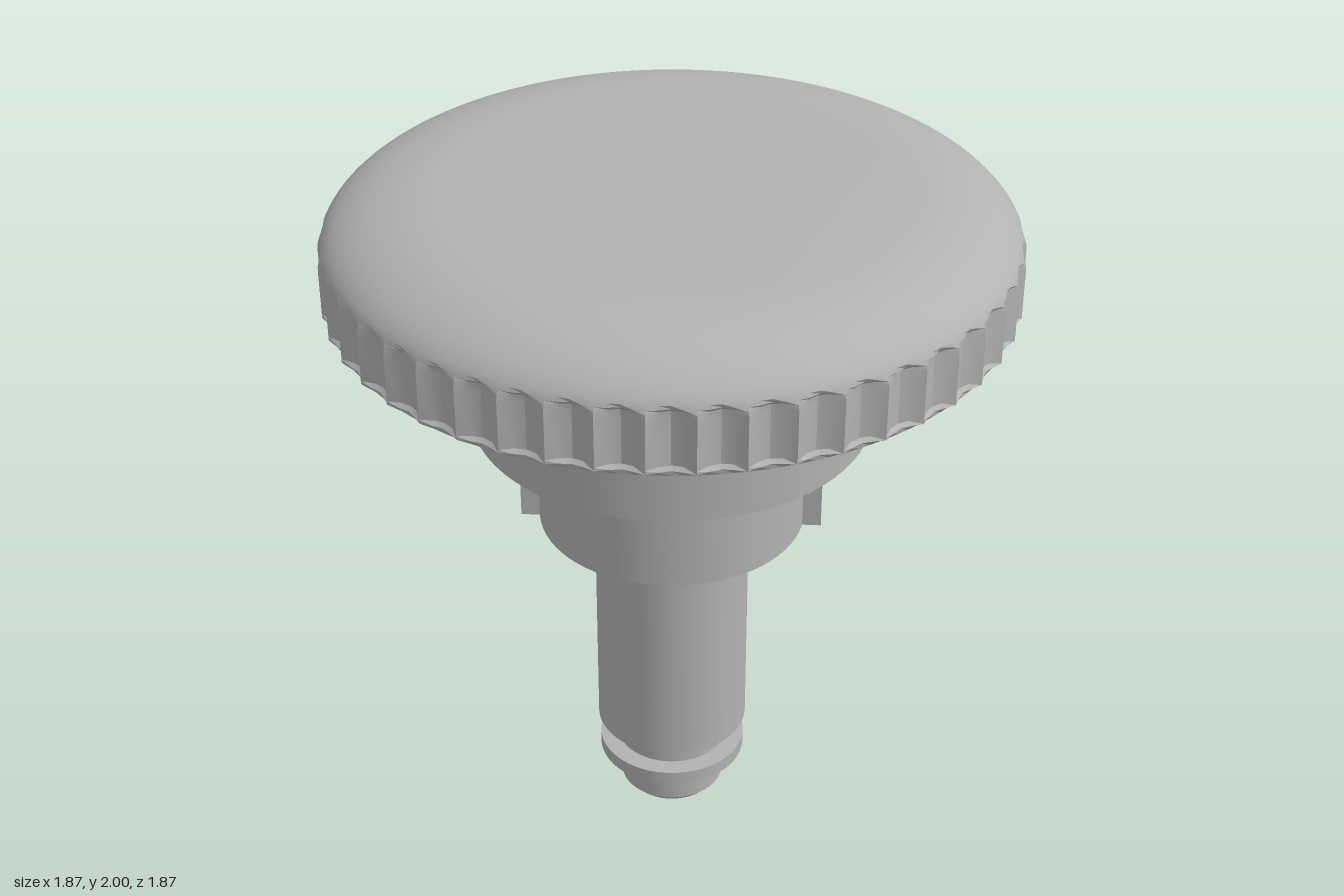
import * as THREE from 'three';
import { toCreasedNormals } from 'three/addons/utils/BufferGeometryUtils.js';

const TEETH = 48;

// Turned solid from [radius, height] pairs listed bottom to top
const lathe = (pairs, segments) =>
  new THREE.LatheGeometry(pairs.map(([r, y]) => new THREE.Vector2(r, y)), segments);

// Hand wheel: domed disc whose rim is cut by concave flutes with sloped ends
function headGeometry() {
  const profile = [
    [0, 1.625], [0.61, 1.625], [0.68, 1.685], [0.912, 1.685],
    [0.935, 1.7], [0.935, 1.71], [0.935, 1.84],
  ];
  const steps = 22;
  for (let i = 1; i <= steps; i++) {
    const a = (i / steps) * Math.PI / 2;
    profile.push([0.6 + 0.335 * Math.cos(a), 1.84 + 0.16 * Math.sin(a)]);
  }
  profile.push([0, 2]);

  const geo = lathe(profile, TEETH * 4);
  const pos = geo.attributes.position;
  for (let i = 0; i < pos.count; i++) {
    const x = pos.getX(i), y = pos.getY(i), z = pos.getZ(i);
    const r = Math.hypot(x, z);
    if (r < 0.7) continue;
    const turn = (Math.atan2(x, z) / (2 * Math.PI)) * TEETH;
    const t = 2 * Math.abs(turn - Math.round(turn)); // 0 on a ridge, 1 in a valley
    const flute = 0.905 + 0.03 * (1 - t) ** 2;
    const limit = flute + Math.max(0, y - 1.862, 1.71 - y);
    if (limit < r) pos.setXYZ(i, x * limit / r, y, z * limit / r);
  }
  return toCreasedNormals(geo, 0.4);
}

export function createModel() {
  const model = new THREE.Group();
  model.name = 'knurledKnob';
  const grey = new THREE.MeshStandardMaterial({ color: 0xb2b2b2 });
  grey.name = 'plain grey';

  const add = (name, geometry) => {
    const mesh = new THREE.Mesh(geometry, grey);
    mesh.name = name;
    model.add(mesh);
    return mesh;
  };
  const addTurned = (name, pairs) => add(name, toCreasedNormals(lathe(pairs, 72), 0.4));

  add('knurledHead', headGeometry());

  // Stepped stem below the head
  addTurned('collar', [[0, 1.308], [0.555, 1.308], [0.555, 1.63]]);
  addTurned('bushing', [[0, 0.975], [0.377, 0.975], [0.377, 1.31]]);
  addTurned('shaft', [[0, 0.25], [0.22, 0.25], [0.22, 0.98]]);
  addTurned('groove', [[0.162, 0.165], [0.162, 0.252]]);
  addTurned('retainingRing', [[0, 0.13], [0.215, 0.13], [0.215, 0.172], [0, 0.172]]);
  addTurned('tip', [[0, 0], [0.132, 0], [0.152, 0.022], [0.152, 0.135]]);

  // Keys on both sides of the bushing
  for (const side of [1, -1]) {
    const key = add(side > 0 ? 'leftKey' : 'rightKey', new THREE.BoxGeometry(0.125, 0.334, 0.116));
    key.position.set(side * 0.3625, 1.142, 0);
  }
  return model;
}
